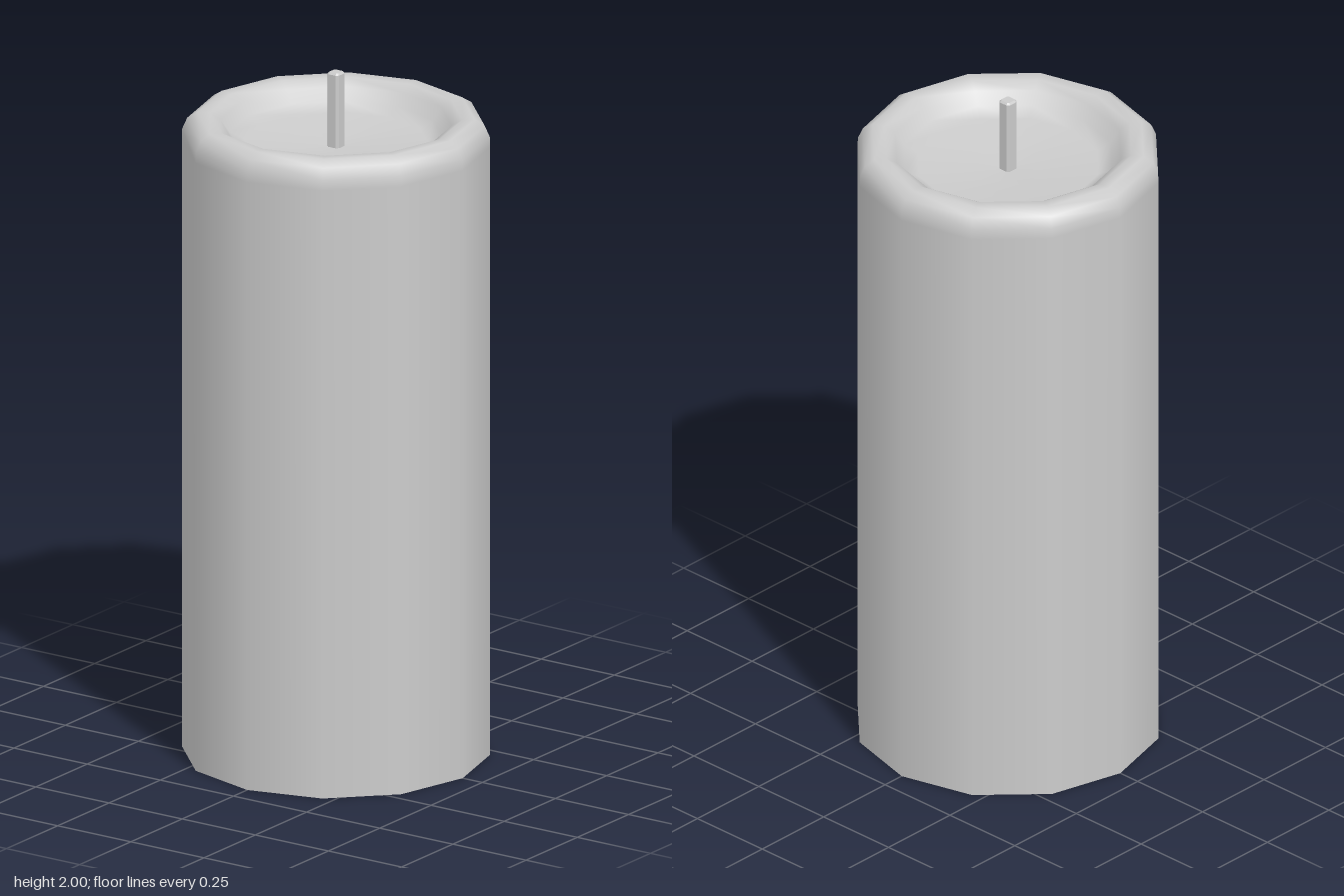
import * as THREE from 'three';

const SIDES = 12;

export function createModel() {
  const model = new THREE.Group();
  model.name = 'candle';
  const material = new THREE.MeshStandardMaterial({ color: 0xcccccc, side: THREE.DoubleSide });

  // Wax body: open at the base, straight wall, rounded rim, shallow melted bowl
  const profile = [
    [0.433, 0], [0.433, 1.79], [0.432, 1.82], [0.418, 1.852], [0.39, 1.87],
    [0.355, 1.868], [0.325, 1.85], [0.3, 1.815], [0.26, 1.795], [0, 1.78],
  ].map(([r, y]) => new THREE.Vector2(r, y));
  const wax = new THREE.Mesh(new THREE.LatheGeometry(profile, SIDES), material);
  wax.name = 'waxBody';
  model.add(wax);

  // Wick: square rod with chamfered corners and a slightly bevelled tip
  const h = 0.02, c = 0.013, base = 1.76, bevel = 0.005;
  const section = new THREE.Shape([
    [h, -c], [h, c], [c, h], [-c, h], [-h, c], [-h, -c], [-c, -h], [c, -h],
  ].map(([x, y]) => new THREE.Vector2(x, y)));
  const wickGeometry = new THREE.ExtrudeGeometry(section, {
    depth: 2 - base - 2 * bevel,
    bevelEnabled: true,
    bevelThickness: bevel,
    bevelSize: bevel,
    bevelOffset: -bevel,
    bevelSegments: 1,
  });
  wickGeometry.rotateX(-Math.PI / 2);
  const wick = new THREE.Mesh(wickGeometry, material);
  wick.name = 'wick';
  wick.position.y = base + bevel;
  model.add(wick);

  return model;
}
